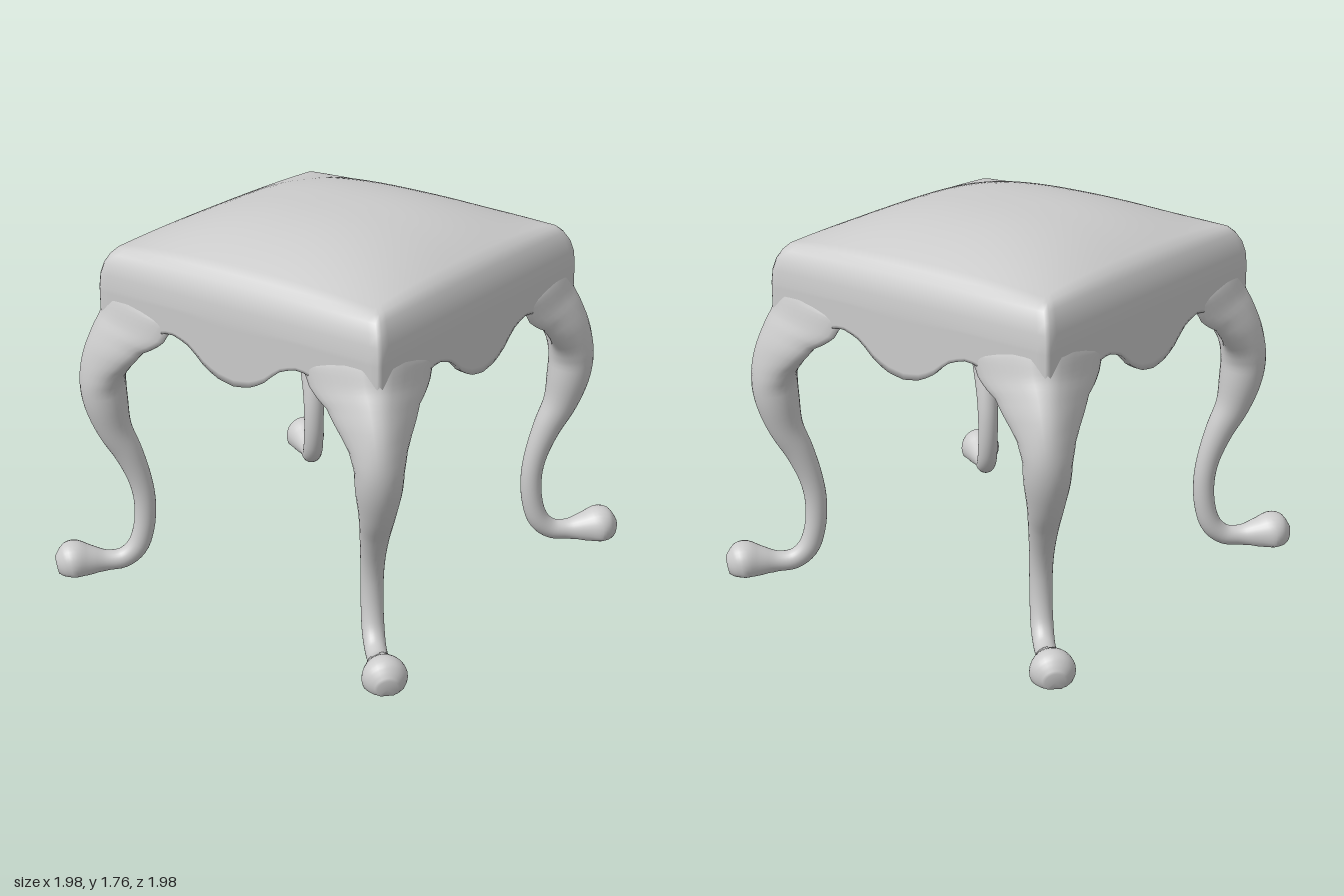
import * as THREE from 'three';
import { mergeVertices } from 'three/addons/utils/BufferGeometryUtils.js';

const material = new THREE.MeshStandardMaterial({ color: 0xcccccc, side: THREE.DoubleSide });
const { lerp, mapLinear } = THREE.MathUtils;

// Piecewise-linear lookup in a short table of [input, output] pairs
function lookup(table, v) {
  for (let i = 1; i < table.length; i++) {
    if (v <= table[i][0]) {
      const [a, fa] = table[i - 1], [b, fb] = table[i];
      return mapLinear(Math.max(v, a), a, b, fa, fb);
    }
  }
  return table[table.length - 1][1];
}

// Skin a list of closed rings (equal point counts) into a smooth surface
function loft(rings) {
  const n = rings[0].length, positions = [], index = [];
  rings.forEach(ring => ring.forEach(p => positions.push(p.x, p.y, p.z)));
  for (let i = 0; i < rings.length - 1; i++) {
    for (let j = 0; j < n; j++) {
      const a = i * n + j, b = i * n + (j + 1) % n, c = a + n, d = b + n;
      index.push(a, c, b, b, c, d);
    }
  }
  let g = new THREE.BufferGeometry();
  g.setAttribute('position', new THREE.Float32BufferAttribute(positions, 3));
  g.setIndex(index);
  g = mergeVertices(g, 1e-5);
  g.computeVertexNormals();
  return g;
}

// Lower edge of the apron: height against distance from the middle of a side
const SCALLOP = [[0, 1.128], [0.08, 1.14], [0.16, 1.175], [0.21, 1.22], [0.27, 1.265], [0.36, 1.29],
  [0.42, 1.278], [0.5, 1.25], [0.78, 1.23]];
// Upper leg against height: extra width of the wings, and how far they fold back along the sides
const WING = [[0.94, 0], [1.02, 0.02], [1.08, 0.05], [1.2, 0.115], [1.28, 0.19], [1.38, 0.245], [1.46, 0.24]];
const FOLD = [[0.94, 0], [1.08, 0.6], [1.2, 0.8], [1.28, 0.92], [1.38, 0.97], [1.46, 1]];

// A square ring; heightAt(s, x, z) gives the height, s runs -1..1 along each side
function squareRing(R, heightAt) {
  const ring = [], steps = 36, up = new THREE.Vector3(0, 1, 0);
  for (let side = 0; side < 4; side++) {
    for (let i = 0; i <= steps; i++) {
      const s = (i / steps) * 2 - 1, x = s * R * 0.98;
      ring.push(new THREE.Vector3(x, heightAt(s, x, R), R).applyAxisAngle(up, side * Math.PI / 2));
    }
  }
  return ring;
}

function seatAndApron() {
  const crown = v => 1 - Math.pow(Math.min(1, Math.abs(v) / 0.75), 2.5);
  const dome = drop => (s, x, z) => 1.597 - drop + 0.163 * crown(x) * crown(z);
  const rings = [];
  // Domed top
  for (let i = 0; i <= 16; i++) rings.push(squareRing(0.715 * i / 16, dome(0)));
  // Rolled shoulder
  for (const [R, drop] of [[0.74, 0.025], [0.762, 0.065], [0.775, 0.115]]) rings.push(squareRing(R, dome(drop)));
  // Apron outside, then inside back up
  const wall = (R, v) => squareRing(R, s => lerp(1.42, lookup(SCALLOP, Math.abs(s) * 0.78), v));
  for (let i = 0; i <= 10; i++) rings.push(wall(0.78, i / 10));
  for (let i = 10; i >= 0; i--) rings.push(wall(0.74, i / 10));
  // Underside of the seat
  for (let i = 16; i >= 0; i--) rings.push(squareRing(0.72 * i / 16, dome(0.07)));
  return loft(rings);
}

function cabrioleLeg() {
  // Distance out along both axes, height, radius
  const path = new THREE.CatmullRomCurve3([
    [0.69, 1.46, 0.04], [0.714, 1.38, 0.055], [0.729, 1.28, 0.07], [0.746, 1.2, 0.085], [0.768, 1.08, 0.1],
    [0.776, 0.96, 0.106], [0.768, 0.85, 0.101], [0.745, 0.72, 0.081], [0.705, 0.6, 0.067], [0.67, 0.46, 0.055],
    [0.656, 0.34, 0.051], [0.663, 0.2, 0.05], [0.69, 0.1, 0.05], [0.735, 0.05, 0.048], [0.79, 0.042, 0.05],
    [0.85, 0.046, 0.077], [0.9, 0.05, 0.1], [0.93, 0.042, 0.083], [0.955, 0.035, 0.045]
  ].map(p => new THREE.Vector3(...p)));
  const B = new THREE.Vector3(1, 0, -1).normalize();
  const count = 72, sides = 28, rings = [];
  const centre = p => new THREE.Vector3(p.x, p.y, p.x);
  const addRing = (t, scale) => {
    const p = path.getPoint(t);
    const ahead = path.getPoint(Math.min(1, t + 0.005)), behind = path.getPoint(Math.max(0, t - 0.005));
    const N = centre(ahead).sub(centre(behind)).normalize().cross(B);
    const width = p.z + lookup(WING, p.y), fold = lookup(FOLD, p.y);
    const ring = [];
    for (let j = 0; j < sides; j++) {
      const a = j / sides * Math.PI * 2;
      const u = width * Math.sin(a) * scale;
      const n = p.z * Math.cos(a) * scale - fold * (Math.hypot(u, 0.05) - 0.05);
      const v = centre(p).addScaledVector(N, n).addScaledVector(B, u);
      v.y = Math.max(0, v.y); // flat sole
      ring.push(v);
    }
    rings.push(ring);
  };
  for (let i = 0; i <= count; i++) addRing(i / count, 1);
  addRing(1, 0); // closed toe
  return loft(rings);
}

export function createModel() {
  const model = new THREE.Group();
  model.name = 'stool';

  const seat = new THREE.Mesh(seatAndApron(), material);
  seat.name = 'seatAndApron';
  model.add(seat);

  // One leg at each corner
  const legGeometry = cabrioleLeg();
  ['frontLeftLeg', 'backLeftLeg', 'backRightLeg', 'frontRightLeg'].forEach((name, i) => {
    const leg = new THREE.Mesh(legGeometry, material);
    leg.name = name;
    leg.rotation.y = i * Math.PI / 2;
    model.add(leg);
  });
  return model;
}
